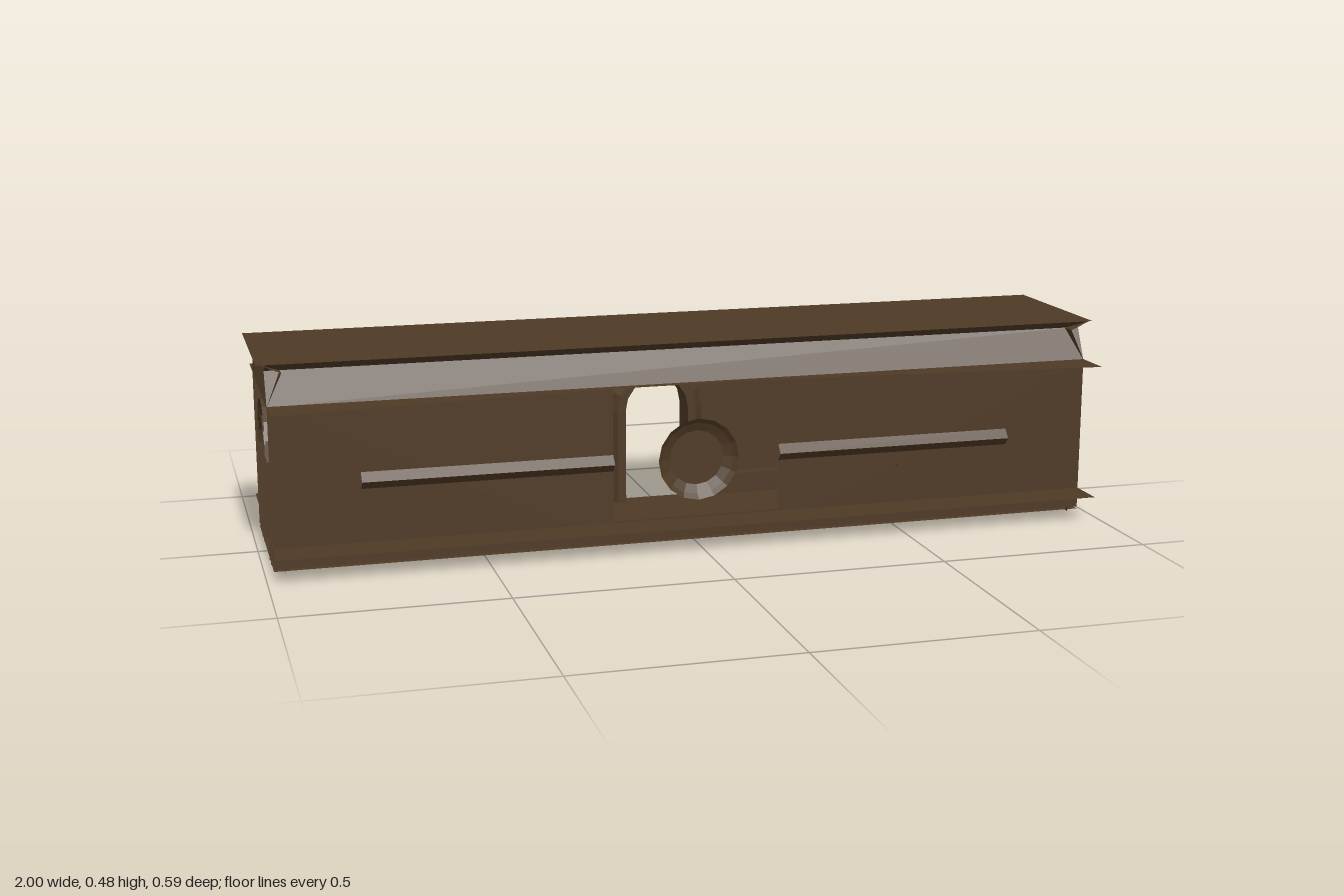
import * as THREE from 'three';

const bronze = new THREE.MeshStandardMaterial({ color: 0x4f3a25, flatShading: true, side: THREE.DoubleSide });
bronze.name = 'dark brown';

// open surface through rows of [x, y, z] points
function loft(rows) {
  const pos = [];
  for (let i = 0; i < rows.length - 1; i++) {
    for (let j = 0; j < rows[i].length - 1; j++) {
      const a = rows[i][j], b = rows[i + 1][j], c = rows[i + 1][j + 1], d = rows[i][j + 1];
      pos.push(...a, ...b, ...c, ...a, ...c, ...d);
    }
  }
  const g = new THREE.BufferGeometry();
  g.setAttribute('position', new THREE.Float32BufferAttribute(pos, 3));
  g.computeVertexNormals();
  return g;
}

// [z, y] profile run along x
const alongX = (profile, x0, x1) => loft([x0, x1].map(x => profile.map(([z, y]) => [x, y, z])));
// [x, y] profile run along z
const alongZ = (profile, z0, z1) => loft([z0, z1].map(z => profile.map(([x, y]) => [x, y, z])));
// horizontal sheet through [x, zInner, zOuter] stations
const sheet = (y, stations) => loft(stations.map(([x, a, b]) => [[x, y, a], [x, y, b]]));

function archFrameGeometry() {
  const profile = [[0.12, 0.038], [0.12, -0.02], [0.1, -0.04], [0.08, -0.04], [0.08, 0.038]];
  const rows = [profile.map(([r, d]) => [r, 0.003, d])];
  for (let i = 0; i <= 8; i++) {
    const t = (i / 8) * Math.PI;
    rows.push(profile.map(([r, d]) => [r * Math.cos(t), 0.243 + r * Math.sin(t), d]));
  }
  rows.push(profile.map(([r, d]) => [-r, 0.003, d]));
  return loft(rows);
}

export function createModel() {
  const model = new THREE.Group();
  model.name = 'hall';
  const add = (name, geometry, parent = model) => {
    const m = new THREE.Mesh(geometry, bronze);
    m.name = name;
    parent.add(m);
    return m;
  };
  const W = 0.197, L = 0.98, TOP = 0.387, LEDGE = 0.063;

  // floor and roof
  add('floor', sheet(0.01, [[-L, -W, W], [L, -W, W]]));
  add('roof', sheet(0.48, [[-1, -W, W], [1, -W, W]]));

  // front wall halves either side of the open bay
  for (const s of [-1, 1]) add('frontWall', alongX([[W, 0.015], [W, TOP]], s * 0.2, s * L));

  // back wall with an arched doorway
  const wall = new THREE.Shape();
  wall.moveTo(-L, 0.015);
  wall.lineTo(-0.1, 0.015);
  for (let i = 0; i <= 8; i++) {
    const t = Math.PI * (1 - i / 8);
    wall.lineTo(0.1 * Math.cos(t), 0.243 + 0.1 * Math.sin(t));
  }
  wall.lineTo(0.1, 0.015);
  wall.lineTo(L, 0.015);
  wall.lineTo(L, TOP);
  wall.lineTo(-L, TOP);
  add('backWall', new THREE.ShapeGeometry(wall)).position.z = -W;

  // crown mouldings, pinched inward below the roof
  for (const s of [-1, 1]) {
    add('longCrown', alongX([[s * W, 0.385], [s * 0.16, 0.46], [s * W, 0.48]], -L, L));
    add('endCrown', alongZ([[s * L, 0.385], [s * 0.945, 0.46], [s * 0.99, 0.48]], -W, W));
  }

  // thin ledges at the top and the foot of the long walls
  const taper = s => [[-L, s * W, s * 0.295], [-0.2, s * W, s * 0.22], [0.2, s * W, s * 0.22], [L, s * W, s * 0.295]];
  add('upperFrontLedge', sheet(TOP, taper(1)));
  add('upperBackLedge', sheet(TOP, taper(-1)));
  add('lowerFrontLedge', sheet(LEDGE, [[-L, 0.165, 0.29], [L, 0.165, 0.29]]));
  for (const s of [-1, 1]) {
    add('lowerBackLedge', sheet(LEDGE, [[s * 0.12, -0.165, -0.235], [s * 0.2, -0.165, -0.235]]));
    add('lowerBackLedge', sheet(LEDGE, [[s * 0.2, -0.165, -0.22], [s * L, -0.165, -0.295]]));
  }

  // baseboards
  add('frontBaseboard', alongX([[0.165, 0.012], [0.165, LEDGE]], -L, L));
  add('baySill', alongX([[W, 0.015], [W, 0.067]], -0.2, 0.2));
  for (const s of [-1, 1]) {
    add('backBaseboard', alongX([[-0.165, 0.012], [-0.165, LEDGE]], s * 0.11, s * L));
    for (const e of [-1, 1]) {
      add('endBaseboard', alongZ([[e * 0.955, 0.005], [e * 0.955, 0.06], [e * L, 0.067]], s * 0.1, s * W));
    }
  }

  // doorway frames at the back and both ends
  const frame = archFrameGeometry();
  const back = add('backDoorFrame', frame);
  back.rotation.y = Math.PI;
  back.position.set(0, 0.002, -W);
  for (const s of [-1, 1]) {
    const end = new THREE.Group();
    end.name = 'endDoor';
    add('endDoorFrame', frame, end).rotation.y = s * Math.PI / 2;
    end.position.x = s * 0.942;
    if (s > 0) end.rotation.z = -0.025;
    model.add(end);
  }

  // triangular rails on the long walls
  const rail = s => [[s * W, 0.187], [s * 0.215, 0.206], [s * W, 0.226]];
  for (const s of [-1, 1]) {
    add('frontRail', alongX(rail(1), s * 0.2, s * 0.78));
    add('backRail', alongX(rail(-1), s * 0.4, s * 0.8));
  }

  // shallow dish hanging in the bay
  const dish = add('dish', new THREE.LatheGeometry(
    [[0, 0], [0.065, 0], [0.086, 0.01], [0.097, 0.02]].map(p => new THREE.Vector2(...p)), 16));
  dish.rotation.x = Math.PI / 2;
  dish.position.set(0, 0.207, W);

  // wall torches inside the front wall
  for (const s of [-1, 1]) {
    const torch = new THREE.Group();
    torch.name = 'torch';
    const shaft = add('torchShaft', new THREE.CylinderGeometry(0.005, 0.002, 0.08, 6), torch);
    shaft.position.set(0, 0.189, 0.183);
    shaft.rotation.x = -0.16;
    add('torchHead', new THREE.CylinderGeometry(0.01, 0.006, 0.012, 6), torch).position.set(0, 0.229, 0.176);
    for (const [y, z] of [[0.157, 0.193], [0.216, 0.187]]) {
      add('torchPeg', new THREE.BoxGeometry(0.006, 0.003, 0.024), torch).position.set(0, y, z);
    }
    torch.position.x = s * 0.5;
    model.add(torch);
  }

  return model;
}
